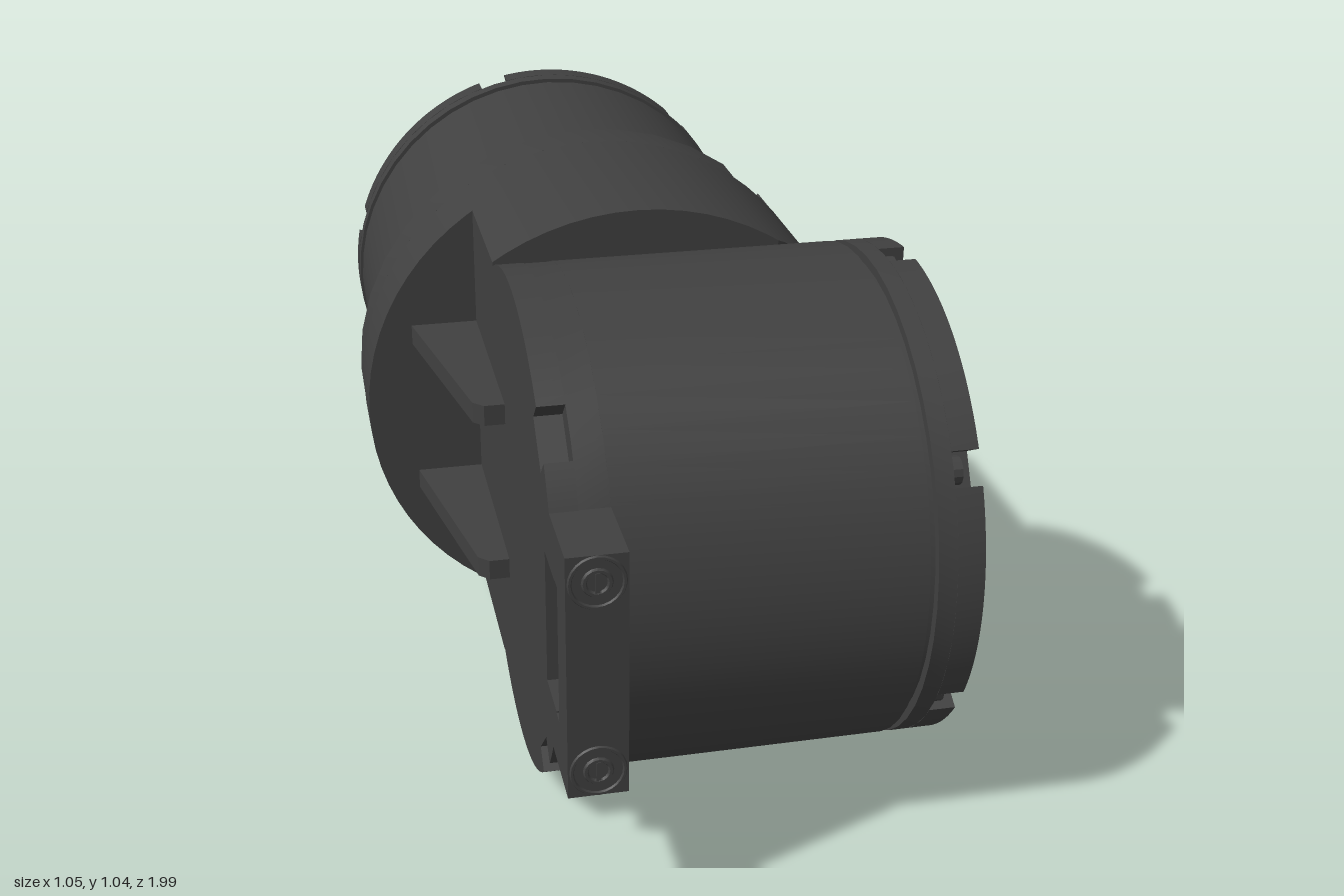
import * as THREE from 'three';
import { toCreasedNormals } from 'three/addons/utils/BufferGeometryUtils.js';

const material = new THREE.MeshStandardMaterial({ color: 0x404040 });
const R = 0.48, CY = 0.52, CX = -0.01, CZ = 0.42;
const rad = THREE.MathUtils.degToRad;

function add(parent, name, geometry, x = 0, y = 0, z = 0) {
  const mesh = new THREE.Mesh(toCreasedNormals(geometry, 0.5), material);
  mesh.name = name;
  mesh.position.set(x, y, z);
  parent.add(mesh);
  return mesh;
}

// Cylinder along local z, from z0 to z1
function drum(parent, name, r, z0, z1, x = 0, y = 0, segments = 48) {
  const g = new THREE.CylinderGeometry(r, r, z1 - z0, segments).rotateX(Math.PI / 2);
  return add(parent, name, g, x, y, (z0 + z1) / 2);
}

// Flat shape given thickness from z0 to z1
function slab(parent, name, shape, z0, z1) {
  const g = new THREE.ExtrudeGeometry(shape, { depth: z1 - z0, bevelEnabled: false, curveSegments: 18 });
  return add(parent, name, g, 0, 0, z0);
}

// Disc with straight-sided rim notches {angle, half width, floor distance}
function notchedDisc(r, notches) {
  const s = new THREE.Shape();
  notches.forEach(({ a, h, d }, i) => {
    const next = notches[(i + 1) % notches.length];
    const wrap = i === notches.length - 1 ? Math.PI * 2 : 0;
    const c = Math.cos(a), n = Math.sin(a);
    const inner = [[d * c + h * n, d * n - h * c], [d * c - h * n, d * n + h * c]];
    if (i === 0) s.moveTo(...inner[0]); else s.lineTo(...inner[0]);
    s.lineTo(...inner[1]);
    s.absarc(0, 0, r, a + Math.asin(h / r), next.a + wrap - Math.asin(next.h / r), false);
  });
  return s;
}

function hole(shape, x, y, r) {
  shape.holes.push(new THREE.Path().absarc(x, y, r, 0, Math.PI * 2, true));
}

function polarHole(shape, radius, degrees, r) {
  hole(shape, radius * Math.cos(rad(degrees)), radius * Math.sin(rad(degrees)), r);
}

// Output flange facing local +z, outer face at z = 0
function makeFlange(name) {
  const flange = new THREE.Group();
  flange.name = name;
  drum(flange, 'grooveNeck', 0.462, -0.11, -0.08);
  drum(flange, 'flangeBase', R, -0.085, -0.05);
  const sixth = [0, 60, 120, 180, 240, 300];
  const rim = notchedDisc(R, sixth.map(a => ({ a: rad(a + 30), h: 0.032, d: 0.42 })));
  hole(rim, 0, 0, 0.302);
  for (const a of sixth) polarHole(rim, 0.42, a, 0.021);
  polarHole(rim, 0.42, 165, 0.021);
  slab(flange, 'flangeRim', rim, -0.05, 0);
  const hub = new THREE.Shape().absarc(0, 0, 0.296, 0, Math.PI * 2, false);
  for (const a of sixth) polarHole(hub, 0.228, a + 30, 0.021);
  for (const a of [0, 120, 240]) polarHole(hub, 0.207, a, 0.034);
  slab(flange, 'outputHub', hub, -0.05, 0.017);
  for (const a of sixth) {
    const t = rad(a + 30);
    drum(flange, 'rimScrew', 0.026, -0.05, -0.03, 0.448 * Math.cos(t), 0.448 * Math.sin(t), 12);
  }
  return flange;
}

// Sleeve body: rectangular sections stepped along x, front end follows a plan outline
function sleeveGeometry(r, zBack) {
  const stops = [];
  for (let i = 0; i <= 36; i++) stops.push([-r * Math.cos(Math.PI * i / 36)]);
  const left = -0.295 - CX, chamfer = 0.27 - CX, right = 0.462 - CX;
  stops.push([left, -0.1], [left, 0.2], [chamfer, 0.2], [right, 0], [right, -0.06]);
  stops.sort((p, q) => p[0] - q[0]);
  const front = x => x < left ? -0.1 : x < chamfer ? 0.2
    : x < right ? 0.2 - 0.2 * (x - chamfer) / (right - chamfer) : -0.06;
  const sections = stops.map(([x, z = front(x)]) => {
    const h = Math.sqrt(Math.max(0, r * r - x * x));
    return [[x, -h, zBack], [x, h, zBack], [x, h, z], [x, -h, z]];
  });
  const pos = [];
  for (let i = 0; i < sections.length - 1; i++) {
    for (let k = 0; k < 4; k++) {
      const m = (k + 1) % 4;
      const a = sections[i][k], b = sections[i][m], c = sections[i + 1][m], d = sections[i + 1][k];
      pos.push(...a, ...b, ...c, ...a, ...c, ...d);
    }
  }
  const g = new THREE.BufferGeometry();
  g.setAttribute('position', new THREE.Float32BufferAttribute(pos, 3));
  g.computeVertexNormals();
  return g;
}

export function createModel() {
  const model = new THREE.Group();
  model.name = 'twoAxisActuator';

  // Cross drum, local z runs along world x
  const cross = new THREE.Group();
  cross.name = 'crossDrum';
  cross.rotation.y = Math.PI / 2;
  cross.position.set(0, CY, CZ);
  model.add(cross);
  drum(cross, 'crossHousing', R, -0.19, 0.36);
  const slot = { a: Math.PI, h: 0.13, d: 0.365 };
  const corner = deg => ({ a: rad(deg), h: 0.05, d: 0.43 });
  slab(cross, 'slottedHousing', notchedDisc(R, [slot]), -0.245, -0.19);
  slab(cross, 'endPlate', notchedDisc(R, [corner(45), corner(135), slot, corner(225), corner(315)]), -0.295, -0.245);
  const crossFlange = makeFlange('crossFlange');
  crossFlange.position.z = 0.46;
  cross.add(crossFlange);

  // Curved connector cover on the cross flange
  const cover = new THREE.Shape();
  cover.absarc(0, 0, 0.48, rad(-36), rad(6), false);
  cover.absarc(0, 0, 0.335, rad(6), rad(-36), true);
  hole(cover, 0.41, 0, 0.04);
  hole(cover, 0.4, -0.11, 0.024);
  hole(cover, 0.385, -0.21, 0.022);
  slab(crossFlange, 'connectorCover', cover, 0, 0.065);
  drum(crossFlange, 'coverScrew', 0.024, 0, 0.04, 0.41, 0, 16);

  // Long drum and its rear flange
  const long = new THREE.Group();
  long.name = 'longDrum';
  long.position.set(CX, CY, 0);
  model.add(long);
  drum(long, 'longHousing', 0.475, -0.882, -0.2);
  const rearFlange = makeFlange('rearFlange');
  rearFlange.position.z = -0.98;
  rearFlange.rotation.set(0, Math.PI, rad(-15));
  long.add(rearFlange);

  // Sleeve joining the two drums
  slab(long, 'sleeveRing', notchedDisc(0.52, [{ a: rad(48), h: 0.055, d: 0.455 }]), -0.335, -0.245);
  add(long, 'sleeve', sleeveGeometry(0.52, -0.245));

  // Tapered ribs beside the sleeve step
  const ribShape = new THREE.Shape([
    [-0.28, -0.12], [-0.28, 0.32], [-0.335, 0.32], [-0.355, 0.3], [-0.435, -0.12],
  ].map(([x, z]) => new THREE.Vector2(x, -z)));
  for (const y of [0.69, 0.35]) {
    const rib = slab(model, 'rib', ribShape, 0, 0.042);
    rib.rotation.x = -Math.PI / 2;
    rib.position.set(0, y - 0.021, 0);
  }

  // Cable guard at the front
  const guard = new THREE.Group();
  guard.name = 'cableGuard';
  guard.position.set(-0.2425, CY, 0);
  model.add(guard);
  for (const s of [1, -1]) {
    add(guard, 'guardArm', new THREE.BoxGeometry(0.105, 0.1, 0.2), 0, s * 0.183, 0.89);
    const boss = new THREE.TorusGeometry(0.046, 0.004, 6, 24);
    add(guard, 'screwSeat', boss, 0, s * 0.183, 0.99);
    add(guard, 'screwHead', new THREE.TorusGeometry(0.022, 0.005, 6, 16), 0, s * 0.183, 0.99);
    add(guard, 'screwSlot', new THREE.BoxGeometry(0.008, 0.036, 0.008), 0, s * 0.183, 0.99);
  }
  add(guard, 'guardFront', new THREE.BoxGeometry(0.105, 0.28, 0.02), 0, 0, 0.98);
  add(guard, 'guardSide', new THREE.BoxGeometry(0.02, 0.28, 0.08), -0.0425, 0, 0.95);
  return model;
}
